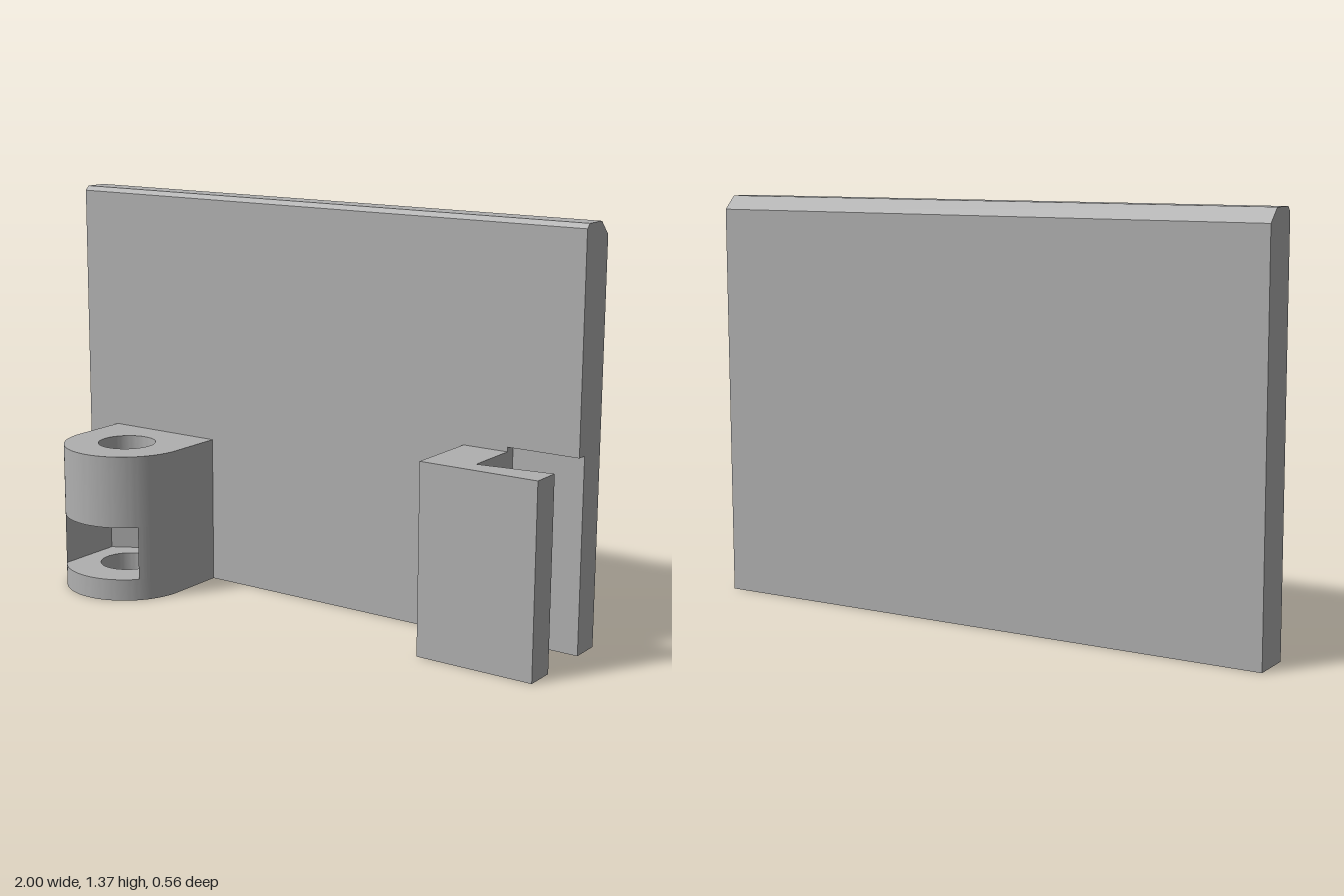
import * as THREE from 'three';
import { toCreasedNormals } from 'three/addons/utils/BufferGeometryUtils.js';

const grey = new THREE.MeshStandardMaterial({ color: 0xb0b0b0 });
grey.name = 'grey';

const BACK = -0.285, FRONT = -0.145; // plate faces in z

function part(name, geometry) {
  const mesh = new THREE.Mesh(toCreasedNormals(geometry, 0.5), grey);
  mesh.name = name;
  return mesh;
}

const polygon = (points) => new THREE.Shape(points.map(([a, b]) => new THREE.Vector2(a, b)));

// Plan outline drawn as (x, -z), raised from y0 to y1
function raise(name, shape, y0, y1) {
  const g = new THREE.ExtrudeGeometry(shape, { depth: y1 - y0, bevelEnabled: false, curveSegments: 40 });
  return part(name, g.rotateX(-Math.PI / 2).translate(0, y0, 0));
}

// Side profile given as [z, y], swept from x0 to x1
function sweep(name, profile, x0, x1) {
  const shape = polygon(profile.map(([z, y]) => [-z, y]));
  const g = new THREE.ExtrudeGeometry(shape, { depth: x1 - x0, bevelEnabled: false });
  return part(name, g.rotateY(Math.PI / 2).translate(x0, 0, 0));
}

function createPlate() {
  const plate = new THREE.Group();
  plate.name = 'plate';
  const top = [[FRONT, 1.355], [-0.16, 1.37], [-0.24, 1.37], [BACK, 1.325], [BACK, 0]];
  plate.add(sweep('plateMain', [[FRONT, 0], ...top], -1, 0.75));
  // End strip, recessed behind the clip
  plate.add(sweep('plateRecessedEnd', [[-0.18, 0], [-0.18, 0.65], [FRONT, 0.65], ...top], 0.75, 1));
  return plate;
}

function createLug() {
  const lug = new THREE.Group();
  lug.name = 'lug';
  const r = 0.22, c = -0.06, half = 0.167;
  const a = Math.acos(half / r);

  // Rounded outline with a bolt hole
  const ring = new THREE.Shape();
  ring.moveTo(-r, -FRONT);
  ring.lineTo(-r, c);
  ring.absarc(0, c, r, Math.PI, 2 * Math.PI, false);
  ring.lineTo(r, -FRONT);
  ring.holes.push(new THREE.Path().absarc(0, c, 0.1, 0, 2 * Math.PI, true));

  // Same outline with a hexagonal nut slot open to the front
  const slot = new THREE.Shape();
  slot.moveTo(-r, -FRONT);
  slot.lineTo(-r, c);
  slot.absarc(0, c, r, Math.PI, Math.PI + a, false);
  slot.lineTo(-half, 0.037);
  slot.lineTo(0, 0.133);
  slot.lineTo(half, 0.037);
  slot.absarc(0, c, r, 2 * Math.PI - a, 2 * Math.PI, false);
  slot.lineTo(r, -FRONT);

  lug.add(
    raise('lugBase', ring, 0, 0.075),
    raise('lugNutSlot', slot, 0.075, 0.26),
    raise('lugTop', ring, 0.26, 0.51),
  );
  lug.position.x = -0.65;
  return lug;
}

// L-shaped hook with an arm that thickens toward its end
function createClip() {
  const outline = polygon([
    [0.59, -FRONT], [0.59, -0.12], [1, -0.12], [1, -0.015], [0.75, -0.05], [0.75, -FRONT],
  ]);
  return raise('clip', outline, 0, 0.635);
}

export function createModel() {
  const model = new THREE.Group();
  model.name = 'bracket';
  model.add(createPlate(), createLug(), createClip());
  return model;
}
